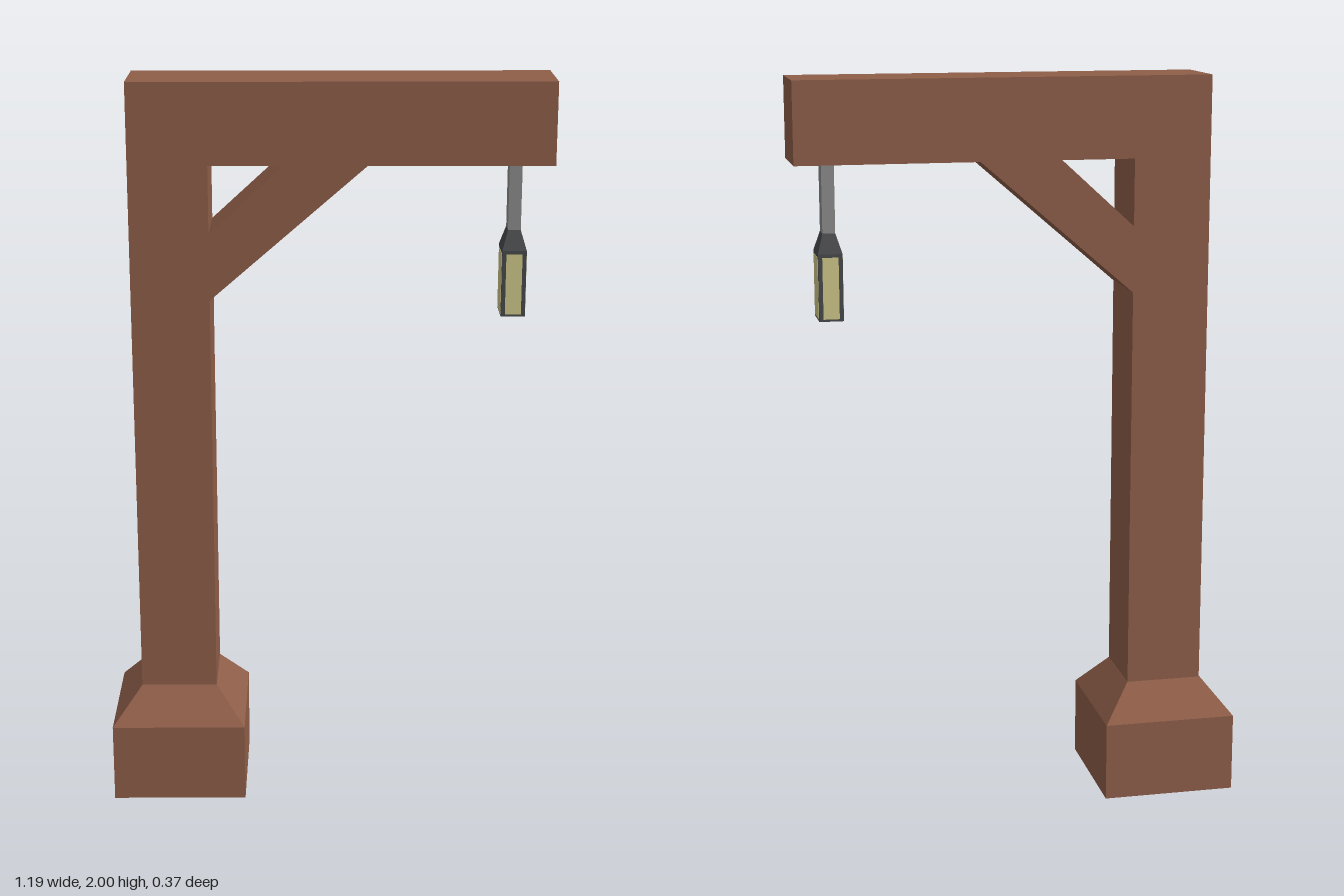
import * as THREE from 'three';

const wood = new THREE.MeshStandardMaterial({ name: 'wood', color: 0x8f5e49 });
const steel = new THREE.MeshStandardMaterial({ name: 'steel', color: 0x8c8c8c });
const iron = new THREE.MeshStandardMaterial({ name: 'darkIron', color: 0x48494b });
const glass = new THREE.MeshStandardMaterial({ name: 'lampGlass', color: 0xcfc88a });

// Box from y0 to y1 whose top may be narrower than its bottom
function block(name, material, [x, y0, y1], [w, d], [topW, topD] = [w, d]) {
  const geometry = new THREE.BoxGeometry(w, y1 - y0, d);
  const p = geometry.attributes.position;
  for (let i = 0; i < p.count; i++) {
    if (p.getY(i) > 0) {
      p.setX(i, Math.sign(p.getX(i)) * topW / 2);
      p.setZ(i, Math.sign(p.getZ(i)) * topD / 2);
    }
  }
  geometry.computeVertexNormals();
  const mesh = new THREE.Mesh(geometry, material);
  mesh.name = name;
  mesh.position.set(x, (y0 + y1) / 2, 0);
  return mesh;
}

const points = (list) => list.map(([x, y]) => new THREE.Vector2(x, y));

export function createModel() {
  const group = new THREE.Group();
  group.name = 'lampPost';

  // Footing: square block with a sloped shoulder
  const postX = -0.413;
  group.add(block('footing', wood, [postX, 0, 0.218], [0.368, 0.368]));
  group.add(block('footingShoulder', wood, [postX, 0.218, 0.313], [0.368, 0.368], [0.209, 0.209]));

  // Post, beam and diagonal brace in one profile, with the gap behind the brace
  const profile = new THREE.Shape(points([
    [-0.518, 0.313], [-0.309, 0.313], [-0.309, 1.424], [0.107, 1.783],
    [0.595, 1.783], [0.595, 2], [-0.518, 2],
  ]));
  profile.holes.push(new THREE.Path(points([[-0.309, 1.603], [-0.309, 1.783], [-0.112, 1.783]])));
  const frame = new THREE.Mesh(
    new THREE.ExtrudeGeometry(profile, { depth: 0.209, bevelEnabled: false }), wood);
  frame.name = 'postAndBeam';
  frame.position.z = -0.1045;
  group.add(frame);

  // Hanging lantern
  const lantern = new THREE.Group();
  lantern.name = 'lantern';
  const x = 0.499, w = 0.065, d = 0.101;
  lantern.add(block('hangingRod', steel, [x, 1.597, 1.783], [0.034, 0.055]));
  lantern.add(block('lanternCap', iron, [x, 1.545, 1.597], [w, d], [0.034, 0.055]));
  lantern.add(block('lanternCase', iron, [x, 1.366, 1.545], [w, d]));

  // Glass panes on all four sides
  for (const s of [-1, 1]) {
    const facePane = block('frontBackPane', glass, [x, 1.372, 1.536], [0.043, 0.004]);
    facePane.position.z = s * (d / 2 - 0.001);
    const sidePane = block('sidePane', glass, [x, 1.372, 1.536], [0.004, 0.088]);
    sidePane.position.x = x + s * (w / 2 - 0.001);
    lantern.add(facePane, sidePane);
  }
  group.add(lantern);
  return group;
}
